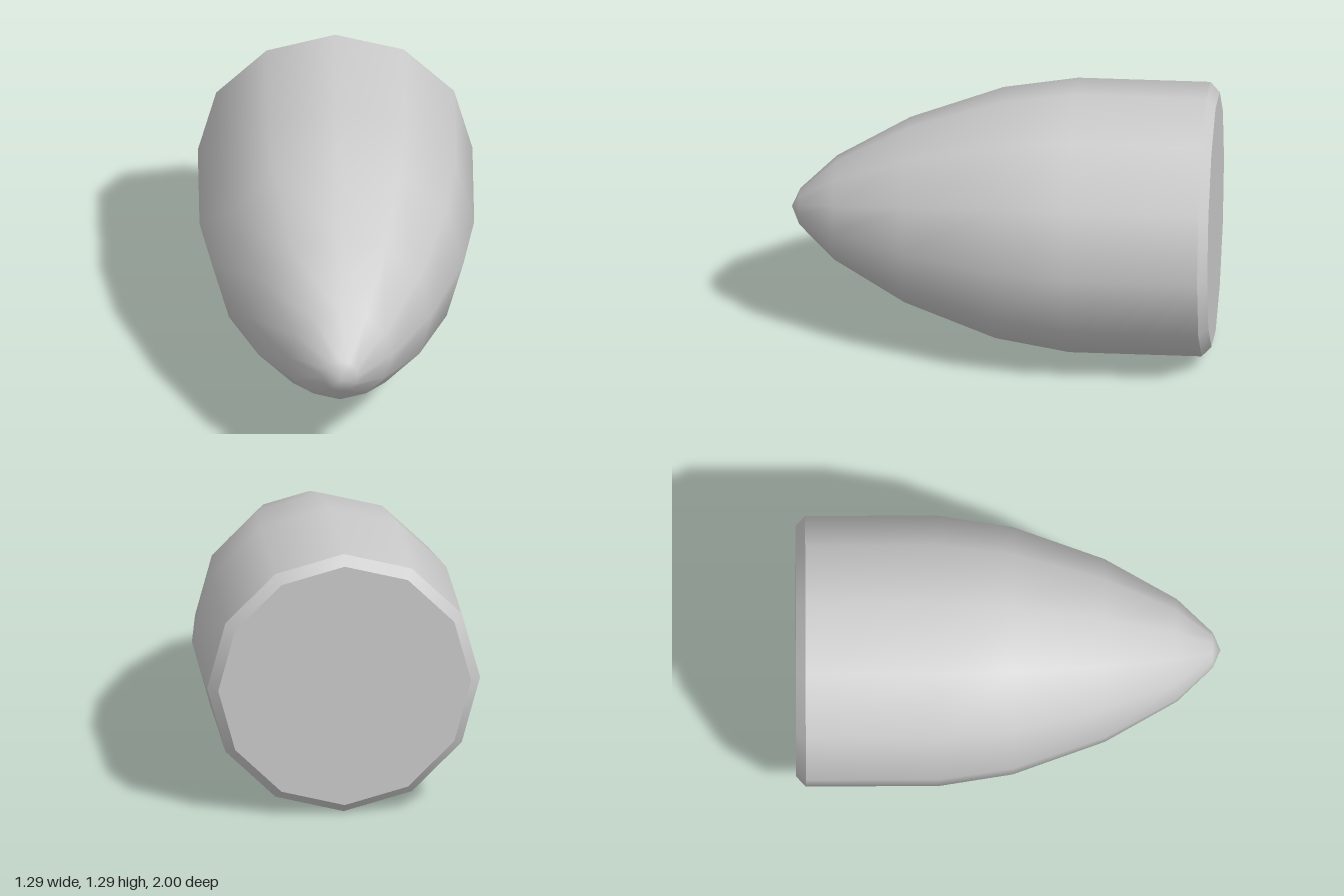
import * as THREE from 'three';

const SIDES = 12;
const RADIUS = 0.647;
const BASE_RADIUS = 0.6;

// Profiles are [radius, z] pairs running from back to front.
const bodyProfile = [
  [RADIUS, -0.955], [RADIUS, -0.33], [0.592, 0.02], [0.437, 0.455],
  [0.245, 0.795], [0.085, 0.963], [0, 1],
];
const rimProfile = [[BASE_RADIUS, -1], [RADIUS, -0.955]];
const baseProfile = [[0, -1], [BASE_RADIUS, -1]];

// Turns a profile around the z axis.
function turned(name, profile, material) {
  const points = profile.map(([r, z]) => new THREE.Vector2(r, z));
  const geometry = new THREE.LatheGeometry(points, SIDES).rotateX(Math.PI / 2);
  const mesh = new THREE.Mesh(geometry, material);
  mesh.name = name;
  return mesh;
}

export function createModel() {
  const model = new THREE.Group();
  model.name = 'roundNosedSlug';
  const material = new THREE.MeshStandardMaterial({ color: 0xcccccc });

  // Straight body running into the curved nose
  const body = turned('body', bodyProfile, material);
  const { position, normal } = body.geometry.attributes;
  for (let i = 0; i < position.count; i++) {
    // Round off the shading at the tip
    if (position.getZ(i) > 0.999) normal.setXYZ(i, 0, 0, 1);
  }

  // Bevelled back rim and flat base, separate for sharp edges
  model.add(
    body,
    turned('backRim', rimProfile, material),
    turned('base', baseProfile, material),
  );
  for (const part of model.children) part.position.y = RADIUS;
  return model;
}
